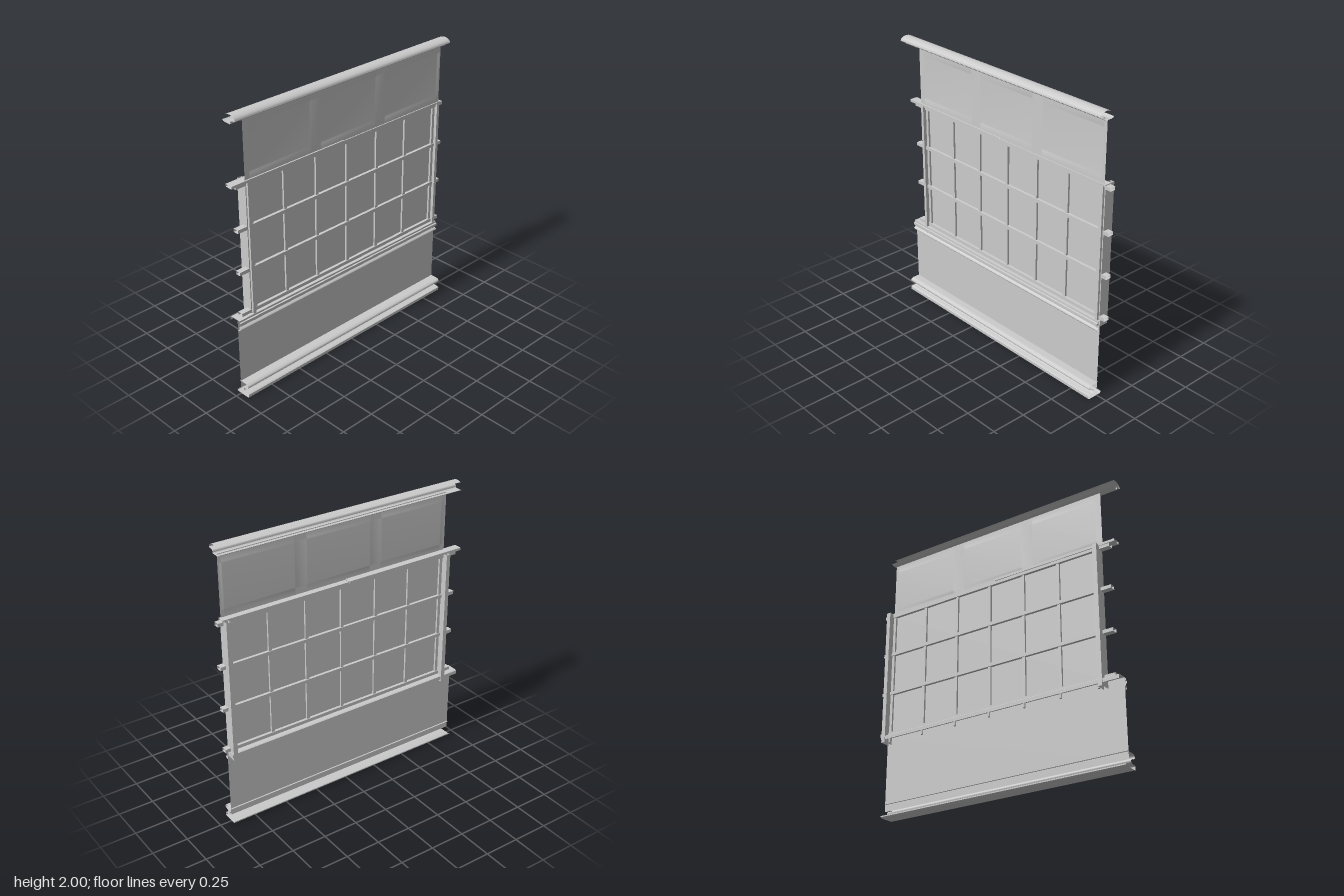
import * as THREE from 'three';
import { toCreasedNormals } from 'three/addons/utils/BufferGeometryUtils.js';

const material = new THREE.MeshStandardMaterial({ color: 0xcccccc, side: THREE.DoubleSide });

// Points on an arc; angles in degrees, optionally elliptical
function arc(cx, cy, rx, ry, from, to, steps = 8) {
  return Array.from({ length: steps + 1 }, (_, i) => {
    const a = THREE.MathUtils.degToRad(from + (to - from) * i / steps);
    return [cx + rx * Math.cos(a), cy + ry * Math.sin(a)];
  });
}

const rect = (a0, a1, b0, b1) => [[a0, b0], [a0, b1], [a1, b1], [a1, b0], [a0, b0]];

// Open-ended section swept along x (section is z,y) or along y (section is x,z)
function sweep(name, section, axis, from, to) {
  const at = ([a, b], t) => (axis === 'x' ? [t, b, a] : [a, t, b]);
  const pos = [];
  for (let i = 0; i < section.length - 1; i++) {
    const p = at(section[i], from), q = at(section[i + 1], from);
    const r = at(section[i + 1], to), s = at(section[i], to);
    pos.push(...p, ...q, ...r, ...p, ...r, ...s);
  }
  const geo = new THREE.BufferGeometry();
  geo.setAttribute('position', new THREE.Float32BufferAttribute(pos, 3));
  const mesh = new THREE.Mesh(toCreasedNormals(geo, 0.6), material);
  mesh.name = name;
  return mesh;
}

function sheet(name, x0, x1, y0, y1, z) {
  const mesh = new THREE.Mesh(new THREE.PlaneGeometry(x1 - x0, y1 - y0), material);
  mesh.position.set((x0 + x1) / 2, (y0 + y1) / 2, z);
  mesh.name = name;
  return mesh;
}

// Smooth fascia with three shallow recessed fields
function fascia() {
  const fields = [[-0.81, -0.30], [-0.22, 0.28], [0.36, 0.885]];
  const xs = [-0.845], ys = [1.525, 1.57, 1.58, 1.88, 1.89, 1.945];
  fields.forEach(([a, b]) => xs.push(a, a + 0.01, b - 0.01, b));
  xs.push(0.905);
  const pos = [], index = [], n = xs.length;
  ys.forEach((y) => xs.forEach((x) => {
    const sunk = y > 1.575 && y < 1.885 && fields.some(([a, b]) => x > a + 0.005 && x < b - 0.005);
    pos.push(x, y, sunk ? -0.003 : 0.003);
  }));
  for (let j = 0; j < ys.length - 1; j++) {
    for (let i = 0; i < n - 1; i++) {
      const k = j * n + i;
      index.push(k, k + 1, k + n + 1, k, k + n + 1, k + n);
    }
  }
  const geo = new THREE.BufferGeometry();
  geo.setAttribute('position', new THREE.Float32BufferAttribute(pos, 3));
  geo.setIndex(index);
  geo.computeVertexNormals();
  const mesh = new THREE.Mesh(geo, material);
  mesh.name = 'fasciaPanel';
  return mesh;
}

export function createModel() {
  const model = new THREE.Group();
  model.name = 'shopfrontWall';
  const L = -0.955, R = 0.915;

  // Crown moulding, open at the back
  model.add(sweep('crownMoulding', [
    [-0.01, 1.992], ...arc(0.025, 1.97, 0.05, 0.03, 125, 0, 10),
    [0.07, 1.966], ...arc(0.06, 1.955, 0.025, 0.011, 90, 180, 5),
    [0.035, 1.945], [0.03, 1.94], [-0.015, 1.94], [-0.03, 1.943], [-0.04, 1.95],
  ], 'x', L, R));

  // Base moulding: rounded bead, hollow, plinth
  model.add(sweep('baseMoulding', [
    [-0.01, 0.1], [0.03, 0.1], ...arc(0.045, 0.082, 0.03, 0.018, 90, -80, 10),
    ...arc(0.05, 0.047, 0.025, 0.016, 100, 260, 8),
    [0.068, 0.03], [0.075, 0.025], [0.075, 0.004], [0.07, 0], [-0.03, 0], [-0.04, 0.006], [-0.04, 0.014],
  ], 'x', L, R));

  // Sill between the lower panel and the lattice
  model.add(sweep('sillMoulding', [
    [0, 0.5], ...arc(0.012, 0.51, 0.014, 0.01, -90, 60, 6),
    [0.012, 0.525], [0.014, 0.54], [0.028, 0.543], [0.028, 0.56], [0.018, 0.562], [0.018, 0.575],
    [-0.065, 0.575], [-0.072, 0.57], [-0.072, 0.545],
  ], 'x', L, R));

  // Flat panels
  model.add(sheet('lowerPanel', L, R, 0.05, 0.575, 0));
  model.add(sheet('latticePanel', -0.84, 0.9, 0.57, 1.52, -0.02));
  model.add(fascia());

  // Top rail in two lapped halves
  model.add(sweep('topRailRight', rect(-0.045, 0.013, 1.512, 1.53), 'x', L, -0.02));
  model.add(sweep('topRailLeft', rect(-0.04, 0.01, 1.51, 1.525), 'x', -0.02, R));

  // End posts with a stepped edge
  for (const [name, x, side] of [['rightPost', -0.825, -1], ['leftPost', 0.895, 1]]) {
    const section = [
      [0.015, -0.075], [0.015, 0], [0.008, 0], [0.008, 0.015],
      [-0.015, 0.015], [-0.015, -0.075], [0.015, -0.075],
    ].map(([a, z]) => [x + side * a, z]);
    model.add(sweep(name, section, 'y', 0.525, 1.52));
  }

  // Lattice: mullions with a bolt below each, crossed by long bars
  const boltGeo = new THREE.CylinderGeometry(0.008, 0.008, 0.045, 10);
  for (const x of [-0.795, -0.52, -0.245, 0.03, 0.307, 0.585, 0.868]) {
    model.add(sweep('mullion', rect(x - 0.011, x + 0.011, -0.034, -0.006), 'y', 0.575, 1.51));
    const bolt = new THREE.Mesh(boltGeo, material);
    bolt.position.set(x, 0.55, -0.035);
    bolt.name = 'sillBolt';
    model.add(bolt);
  }
  for (const y of [0.592, 0.897, 1.199, 1.502]) {
    model.add(sweep('crossBar', rect(-0.04, 0, y - 0.012, y + 0.012), 'x', -0.915, 0.95));
  }
  return model;
}
